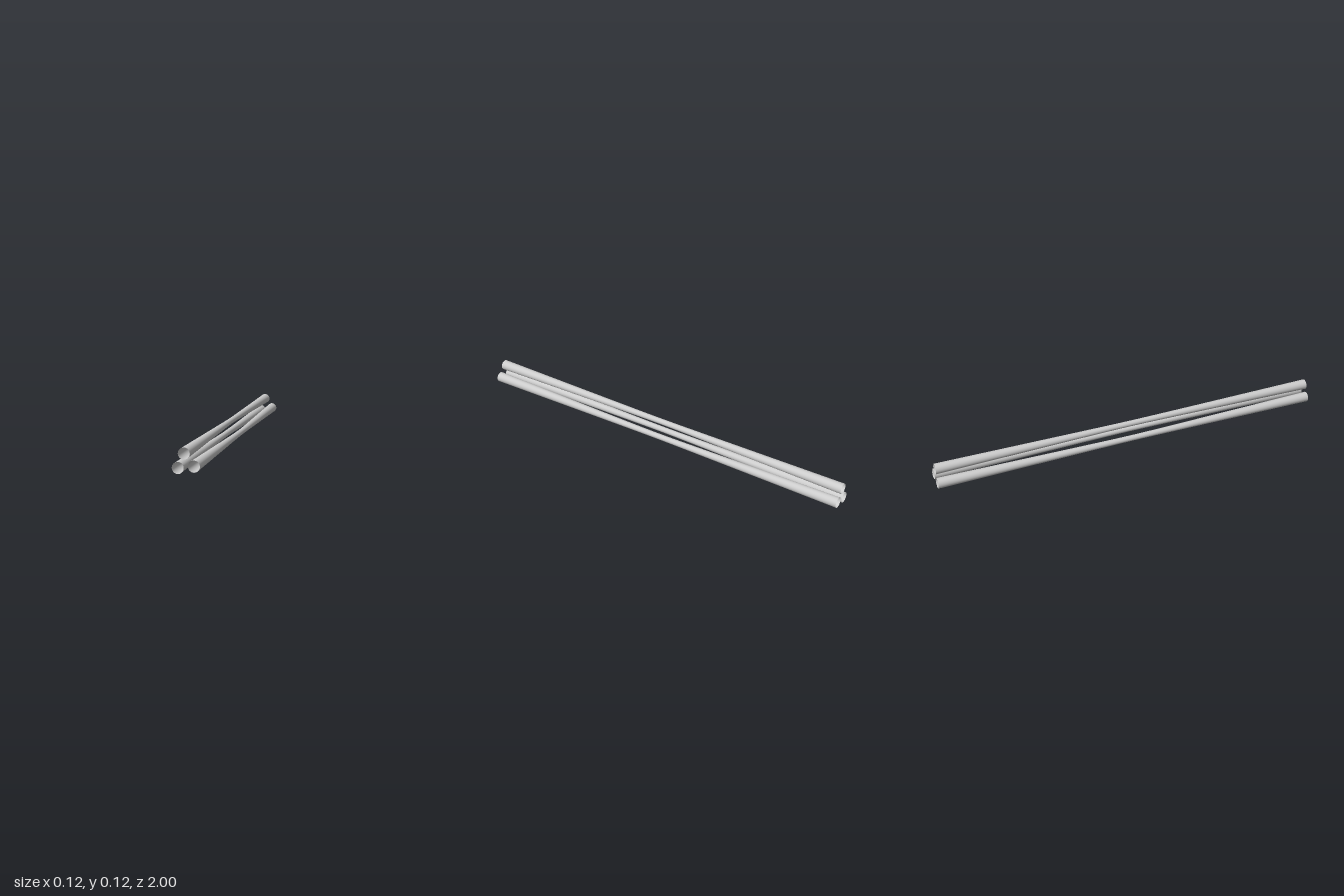
import * as THREE from 'three';

const END_RADIUS = 0.0257;
const WAIST_RADIUS = 0.0142;

// An open tube along z that narrows to a waist, with its axis bowed and tilted
function makeTube(name, material, end, waist, tilt) {
  const geometry = new THREE.CylinderGeometry(1, 1, 2, 40, 24, true);
  geometry.rotateX(Math.PI / 2);
  const p = geometry.attributes.position;
  const soft = 0.12; // rounds off the waist
  for (let i = 0; i < p.count; i++) {
    const z = p.getZ(i);
    const t = (Math.hypot(z, soft) - soft) / (Math.hypot(1, soft) - soft);
    const r = THREE.MathUtils.lerp(WAIST_RADIUS, END_RADIUS, t);
    const cx = THREE.MathUtils.lerp(waist[0], end[0], t) + tilt[0] * z;
    const cy = THREE.MathUtils.lerp(waist[1], end[1], t) + tilt[1] * z;
    p.setXY(i, cx + r * p.getX(i), cy + r * p.getY(i));
  }
  // The taper is so slight that the cylinder's radial normals still hold
  const mesh = new THREE.Mesh(geometry, material);
  mesh.name = name;
  return mesh;
}

export function createModel() {
  const group = new THREE.Group();
  group.name = 'tubeBundle';
  const material = new THREE.MeshStandardMaterial({ color: 0xcccccc, side: THREE.DoubleSide });

  // name, end centre, waist centre, shift of the axis per unit of z
  const tubes = [
    ['topTube', [-0.0098, 0.092], [-0.0098, 0.0957], [0.001, 0]],
    ['lowerRightTube', [-0.035, 0.0282], [-0.038, 0.0277], [0, 0.0023]],
    ['lowerLeftTube', [0.032, 0.0384], [0.035, 0.0366], [0.002, 0]],
  ];
  for (const [name, end, waist, tilt] of tubes) {
    group.add(makeTube(name, material, end, waist, tilt));
  }
  return group;
}
